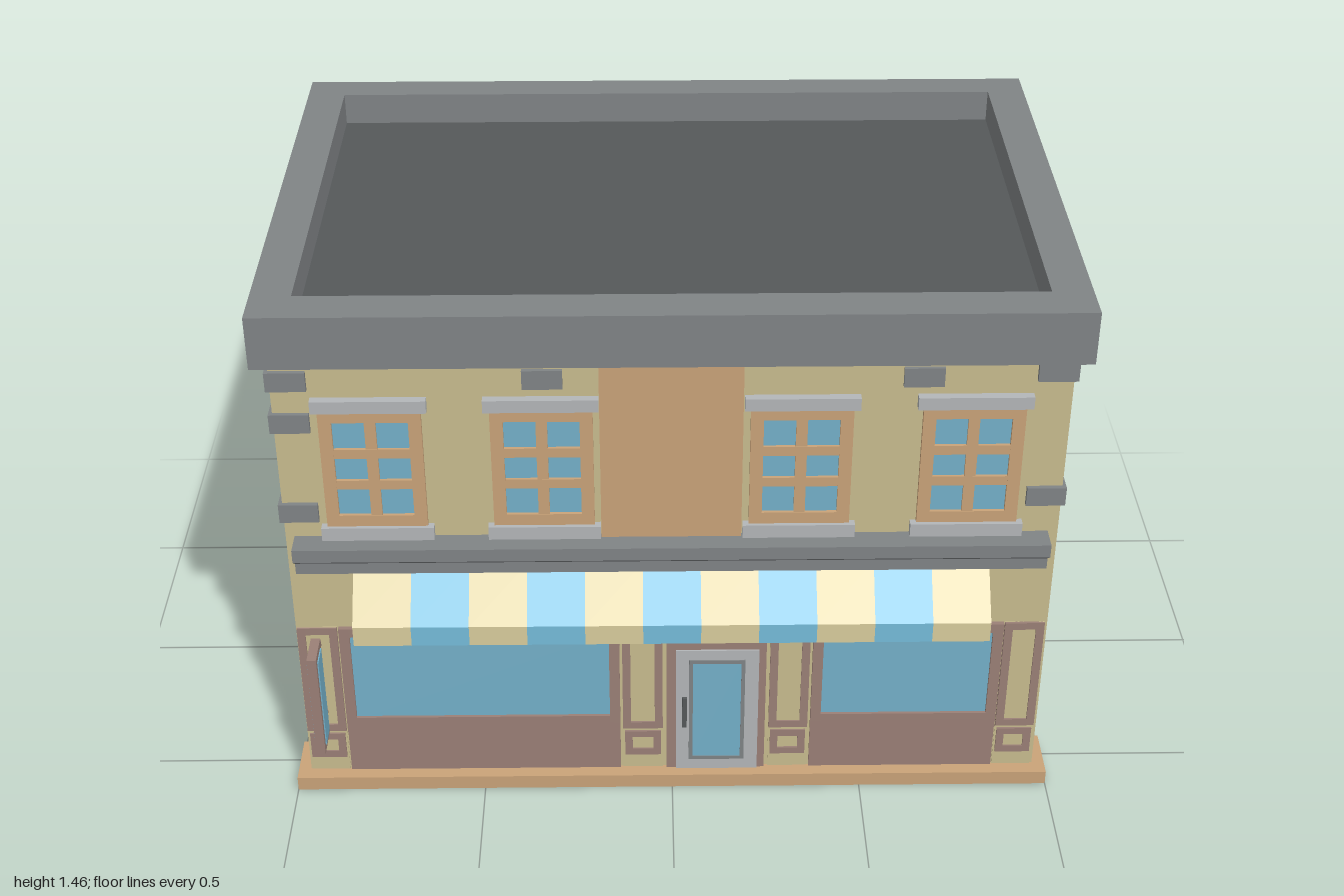
import * as THREE from 'three';

const mat = (name, color) => {
  const m = new THREE.MeshStandardMaterial({ color });
  m.name = name;
  return m;
};
const M = {
  wall: mat('sandWall', 0xc9bc8f),
  grey: mat('stoneGrey', 0x808486),
  roof: mat('roofDark', 0x55595a),
  tan: mat('tanTrim', 0xcaa379),
  pale: mat('paleGrey', 0xb4b7b9),
  glass: mat('windowGlass', 0x74b0ca),
  blue: mat('awningBlue', 0x76bddb),
  cream: mat('awningCream', 0xd9cd9d),
  mauve: mat('mauveWood', 0x9b8077),
};

// Box from min/max extents
function box(parent, name, m, x0, x1, y0, y1, z0, z1) {
  const mesh = new THREE.Mesh(new THREE.BoxGeometry(x1 - x0, y1 - y0, z1 - z0), m);
  mesh.position.set((x0 + x1) / 2, (y0 + y1) / 2, (z0 + z1) / 2);
  mesh.name = name;
  parent.add(mesh);
  return mesh;
}

function group(parent, name) {
  const g = new THREE.Group();
  g.name = name;
  parent.add(g);
  return g;
}

// Rectangular frame of four bars, thickness t, in the xy plane
function frame(parent, name, m, x0, x1, y0, y1, t, z0, z1) {
  box(parent, name, m, x0, x0 + t, y0, y1, z0, z1);
  box(parent, name, m, x1 - t, x1, y0, y1, z0, z1);
  box(parent, name, m, x0 + t, x1 - t, y0, y0 + t, z0, z1);
  box(parent, name, m, x0 + t, x1 - t, y1 - t, y1, z0, z1);
}

// Upright extrusion of a floor plan given as [x, z] points
function prism(parent, name, m, pts, y0, y1, hole) {
  const toV = p => p.map(([x, z]) => new THREE.Vector2(x, -z));
  const shape = new THREE.Shape(toV(pts));
  if (hole) shape.holes.push(new THREE.Path(toV(hole)));
  const geo = new THREE.ExtrudeGeometry(shape, { depth: y1 - y0, bevelEnabled: false });
  geo.rotateX(-Math.PI / 2);
  geo.translate(0, y0, 0);
  const mesh = new THREE.Mesh(geo, m);
  mesh.name = name;
  parent.add(mesh);
}

// Plan with thicker corners: xo at the corners, xi along the sides
const plan = (xo, xi, zf, zfi, zbi, zb) => [
  [-xo, zf], [xo, zf], [xo, zfi], [xi, zfi], [xi, zbi], [xo, zbi],
  [xo, zb], [-xo, zb], [-xo, zbi], [-xi, zbi], [-xi, zfi], [-xo, zfi],
];
const rect = (x, zf, zb) => [[-x, zf], [x, zf], [x, zb], [-x, zb]];

// Six-pane window facing +z; origin at the bottom centre of its frame
function makeWindow(name, w, h, ledgeW, ledgeMat, ledgeOut) {
  const g = new THREE.Group();
  g.name = name;
  const d = 0.012, t = 0.032;
  box(g, 'glass', M.glass, -w / 2 + t, w / 2 - t, t, h - t, 0, 0.003);
  frame(g, 'windowFrame', M.tan, -w / 2, w / 2, 0, h, t, 0, d);
  box(g, 'verticalBar', M.tan, -0.014, 0.014, t, h - t, 0, d - 0.002);
  for (const f of [1, 2]) {
    const y = t + (h - 2 * t) * f / 3;
    box(g, 'crossBar', M.tan, -w / 2 + t, w / 2 - t, y - 0.013, y + 0.013, 0, d - 0.001);
  }
  box(g, 'sill', ledgeMat, -ledgeW / 2, ledgeW / 2, -0.037, 0, 0, ledgeOut);
  box(g, 'lintel', ledgeMat, -ledgeW / 2, ledgeW / 2, h, h + 0.034, 0, ledgeOut);
  return g;
}

// Extrude a [z, y] profile along x
function profileX(parent, name, m, pts, x0, x1) {
  const shape = new THREE.Shape(pts.map(([z, y]) => new THREE.Vector2(-z, y)));
  const geo = new THREE.ExtrudeGeometry(shape, { depth: x1 - x0, bevelEnabled: false });
  geo.rotateY(Math.PI / 2);
  geo.translate(x0, 0, 0);
  const mesh = new THREE.Mesh(geo, m);
  mesh.name = name;
  parent.add(mesh);
}

export function createModel() {
  const root = new THREE.Group();
  root.name = 'shopBuilding';
  const F = 0.58; // front wall plane
  const S = 0.91; // side wall plane

  // Shell
  prism(root, 'basePlinth', M.tan, plan(1, 0.95, 0.62, 0.47, -0.535, -0.68), 0, 0.04);
  prism(root, 'walls', M.wall, plan(0.967, S, F, 0.49, -0.56, -0.64), 0.04, 1.33);
  prism(root, 'roofParapet', M.grey, rect(1, 0.64, -0.71), 1.32, 1.46, rect(0.9, 0.535, -0.62));
  box(root, 'roofDeck', M.roof, -0.9, 0.9, 1.325, 1.375, -0.62, 0.535);

  // Upper front: windows and centre panel
  const upper = group(root, 'upperFront');
  box(upper, 'centrePanel', M.tan, -0.177, 0.172, 0.79, 1.32, F - 0.01, F + 0.013);
  for (const x of [-0.733, -0.318, 0.315, 0.733]) {
    const w = makeWindow('frontWindow', 0.25, 0.335, 0.28, M.pale, 0.022);
    w.position.set(x, 0.837, F);
    upper.add(w);
  }

  // Side windows
  for (const s of [1, -1]) {
    for (const z of [0.278, -0.343]) {
      for (const y of [0.18, 0.837]) {
        const w = makeWindow('sideWindow', 0.294, 0.335, 0.363, M.grey, 0.04);
        w.position.set(s * S, y, z);
        w.rotation.y = s * Math.PI / 2;
        root.add(w);
      }
    }
  }

  // Cornice above the shop
  profileX(root, 'shopCornice', M.grey, [
    [F - 0.01, 0.8], [0.645, 0.8], [0.645, 0.764], [0.615, 0.74], [0.615, 0.708], [F - 0.01, 0.708],
  ], -0.945, 0.942);

  // Striped awning
  const awning = group(root, 'awning');
  const n = 11, x0 = -0.805, step = 1.607 / n;
  for (let i = 0; i < n; i++) {
    profileX(awning, 'awningStripe', i % 2 ? M.blue : M.cream,
      [[F, 0.71], [0.69, 0.594], [0.69, 0.537], [F, 0.537]], x0 + i * step, x0 + (i + 1) * step);
  }

  // Shop windows with panels below
  const shop = group(root, 'shopFront');
  for (const [a, b] of [[-0.858, -0.137], [0.365, 0.855]]) {
    box(shop, 'stallPanel', M.mauve, a, b, 0.04, 0.175, F, F + 0.006);
    box(shop, 'stallRail', M.mauve, a, b, 0.175, 0.2, F, F + 0.012);
    frame(shop, 'displayFrame', M.mauve, a, b, 0.195, 0.515, 0.027, F, F + 0.012);
    box(shop, 'displayGlass', M.glass, a + 0.02, b - 0.02, 0.205, 0.49, F, F + 0.004);
  }

  // Panelled pilasters
  for (const [a, b] of [[-0.965, -0.862], [-0.13, -0.025], [0.255, 0.358], [0.858, 0.96]]) {
    box(shop, 'pilaster', M.wall, a, b, 0.04, 0.515, F, F + 0.003);
    frame(shop, 'pilasterFrame', M.mauve, a, b, 0.175, 0.515, 0.021, F, F + 0.008);
    frame(shop, 'pilasterFoot', M.mauve, a + 0.005, b - 0.005, 0.085, 0.165, 0.02, F, F + 0.008);
  }

  // Door
  const door = group(root, 'door');
  box(door, 'doorSurround', M.mauve, -0.015, 0.245, 0.04, 0.465, F, F + 0.008);
  box(door, 'doorLeaf', M.pale, 0.01, 0.226, 0.04, 0.437, F, F + 0.013);
  frame(door, 'doorTrim', M.grey, 0.044, 0.19, 0.075, 0.407, 0.01, F, F + 0.017);
  box(door, 'doorGlass', M.glass, 0.054, 0.18, 0.085, 0.397, F, F + 0.015);
  box(door, 'doorHandle', M.roof, 0.026, 0.038, 0.195, 0.292, F + 0.022, F + 0.03);
  for (const y of [0.21, 0.27]) box(door, 'handlePost', M.roof, 0.028, 0.036, y, y + 0.01, F, F + 0.024);

  // Hanging sign
  const sign = group(root, 'hangingSign');
  frame(sign, 'signFrame', M.mauve, -0.926, -0.9, 0.2, 0.507, 0.02, 0.618, 0.71);
  // Rebuilt as a slab in the zy plane so both faces carry glass
  sign.clear();
  box(sign, 'signBoard', M.mauve, -0.925, -0.901, 0.2, 0.507, 0.618, 0.71);
  box(sign, 'signGlass', M.glass, -0.928, -0.898, 0.22, 0.488, 0.634, 0.695);
  for (const y of [0.235, 0.458]) box(sign, 'signBracket', M.mauve, -0.92, -0.906, y, y + 0.013, F, 0.62);

  // Corner stones: [x sign, z sign, heights]
  const corners = [
    [-1, 1, [1.255, 1.137, 0.875]], [1, 1, [1.27, 0.91]],
    [1, -1, [1.26, 0.99, 0.16]], [-1, -1, [1.26, 1.1, 0.29]],
  ];
  const stones = group(root, 'cornerStones');
  for (const [sx, sz, ys] of corners) {
    for (const y of ys) {
      const cx = sx * 0.927, cz = sz > 0 ? 0.567 : -0.632;
      box(stones, 'cornerStone', M.grey, cx - 0.049, cx + 0.049, y - 0.026, y + 0.026, cz - 0.025, cz + 0.025);
    }
  }

  // Loose bricks on the front and sides
  const bricks = group(root, 'bricks');
  for (const x of [-0.313, 0.605]) box(bricks, 'frontBrick', M.grey, x - 0.049, x + 0.049, 1.23, 1.282, F - 0.01, F + 0.01);
  const sideBricks = [
    [1, -0.26, 1.263], [1, 0.165, 0.723], [1, -0.1, 0.342],
    [-1, -0.1, 1.22], [-1, -0.13, 0.74], [-1, -0.2, 0.67], [-1, -0.05, 0.36],
  ];
  for (const [s, z, y] of sideBricks) {
    box(bricks, 'sideBrick', M.grey, s * S - 0.014, s * S + 0.014, y - 0.027, y + 0.027, z - 0.06, z + 0.06);
  }
  return root;
}
